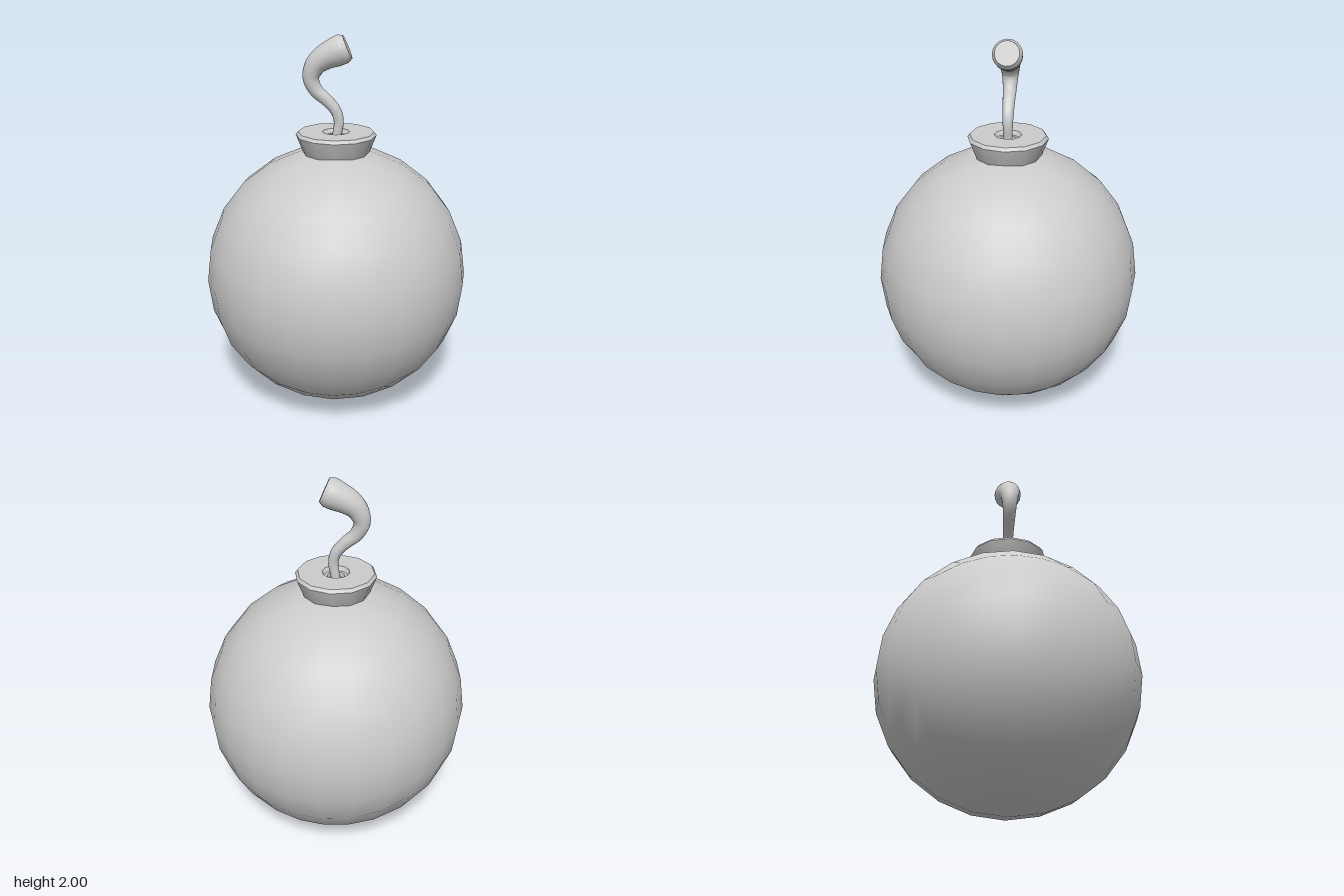
import * as THREE from 'three';
import { toCreasedNormals } from 'three/addons/utils/BufferGeometryUtils.js';

const material = new THREE.MeshStandardMaterial({ color: 0xcccccc });

function part(name, geometry) {
  const mesh = new THREE.Mesh(geometry, material);
  mesh.name = name;
  return mesh;
}

// Cube grid rounded into a ball, with evenly spaced angles and smooth normals
function roundedCube(radius, segments) {
  const geometry = new THREE.BoxGeometry(2, 2, 2, segments, segments, segments);
  const pos = geometry.attributes.position;
  const v = new THREE.Vector3();
  const spread = (a) => Math.tan(a * Math.PI / 4);
  for (let i = 0; i < pos.count; i++) {
    v.fromBufferAttribute(pos, i);
    v.set(spread(v.x), spread(v.y), spread(v.z)).normalize();
    geometry.attributes.normal.setXYZ(i, v.x, v.y, v.z);
    pos.setXYZ(i, v.x * radius, v.y * radius, v.z * radius);
  }
  return geometry;
}

// Tube whose radius follows the listed [x, y, radius] stations
function taperedTube(stations, steps, sides) {
  const curve = new THREE.CatmullRomCurve3(stations.map(([x, y]) => new THREE.Vector3(x, y, 0)));
  const geometry = new THREE.TubeGeometry(curve, steps, 1, sides, false);
  const pos = geometry.attributes.position;
  const v = new THREE.Vector3();
  const last = stations.length - 1;
  for (let i = 0; i <= steps; i++) {
    const centre = curve.getPointAt(i / steps);
    const t = curve.getUtoTmapping(i / steps) * last;
    const k = Math.min(Math.floor(t), last - 1);
    const radius = THREE.MathUtils.lerp(stations[k][2], stations[k + 1][2], t - k);
    for (let j = 0; j <= sides; j++) {
      const n = i * (sides + 1) + j;
      v.fromBufferAttribute(pos, n).sub(centre).multiplyScalar(radius).add(centre);
      pos.setXYZ(n, v.x, v.y, v.z);
    }
  }
  return { curve, geometry: toCreasedNormals(geometry, 0.9) };
}

export function createModel() {
  const group = new THREE.Group();
  group.name = 'roundBomb';

  // Ball
  const body = part('body', roundedCube(0.707, 6));
  body.position.y = 0.709;
  group.add(body);

  // Flared twelve-sided collar with a small recess for the fuse
  const profile = [
    [0.16, 1.36], [0.178, 1.39], [0.213, 1.48], [0.2, 1.497],
    [0.072, 1.497], [0.06, 1.475], [0.045, 1.475], [0.04, 1.455], [0, 1.455],
  ].map(([r, y]) => new THREE.Vector2(r, y));
  group.add(part('collar', toCreasedNormals(new THREE.LatheGeometry(profile, 12), 0.6)));

  // Curved fuse, widening towards its tip
  const stations = [
    [0, 1.45, 0.024], [0.008, 1.5, 0.025], [0.014, 1.55, 0.026], [0, 1.605, 0.029],
    [-0.045, 1.66, 0.032], [-0.105, 1.715, 0.036], [-0.13, 1.78, 0.043],
    [-0.105, 1.845, 0.055], [-0.057, 1.885, 0.066], [0, 1.912, 0.076],
    [0.035, 1.928, 0.077], [0.058, 1.938, 0.063],
  ];
  const { curve, geometry } = taperedTube(stations, 48, 20);
  group.add(part('fuse', geometry));

  // Flat end of the fuse
  const cap = part('fuseTip', new THREE.CircleGeometry(0.063, 20));
  cap.position.copy(curve.getPointAt(1));
  cap.quaternion.setFromUnitVectors(new THREE.Vector3(0, 0, 1), curve.getTangentAt(1));
  group.add(cap);

  return group;
}
